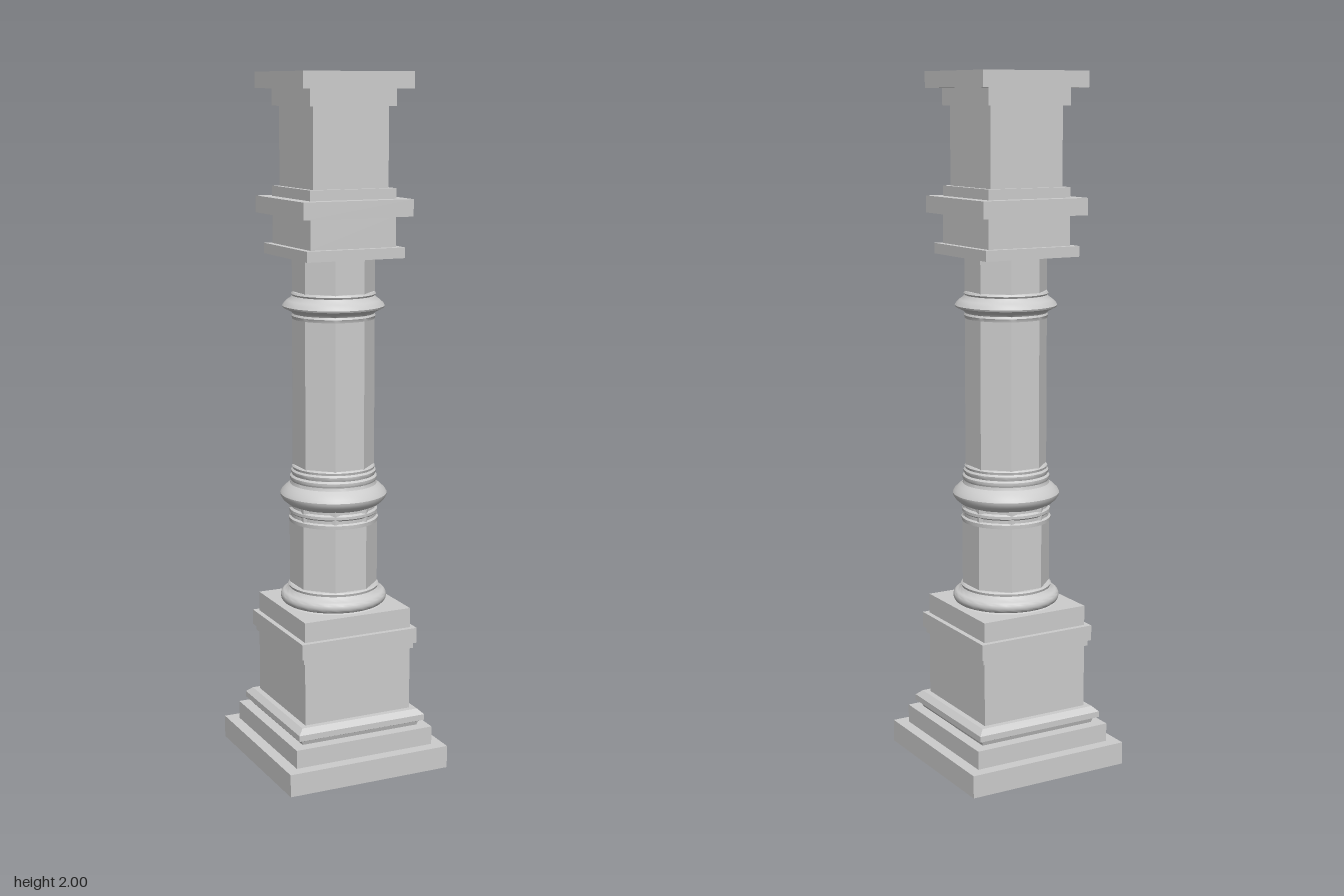
import * as THREE from 'three';
import { toCreasedNormals } from 'three/addons/utils/BufferGeometryUtils.js';

export function createModel() {
  const model = new THREE.Group();
  model.name = 'column';
  const stone = new THREE.MeshStandardMaterial({ color: 0xcccccc });
  stone.name = 'grey stone';

  const add = (name, geometry) => {
    const mesh = new THREE.Mesh(geometry, stone);
    mesh.name = name;
    model.add(mesh);
    return mesh;
  };

  // Square slab: half width and bottom/top heights
  const slab = (name, half, y0, y1) => {
    add(name, new THREE.BoxGeometry(half * 2, y1 - y0, half * 2)).position.y = (y0 + y1) / 2;
  };

  // Turned profile of [radius, y] points, bottom to top
  const lathe = (profile, sides, start, crease) => toCreasedNormals(
    new THREE.LatheGeometry(profile.map(([r, y]) => new THREE.Vector2(r, y)), sides, start), crease);
  const ring = (name, profile) => add(name, lathe(profile, 48, 0, 0.6));

  // Half-round bulge between two heights, for use inside a profile
  const bulge = (r, depth, y0, y1, n = 8) => Array.from({ length: n + 1 }, (_, i) => {
    const a = Math.PI * (i / n - 0.5);
    return [r + depth * Math.cos(a), (y0 + y1) / 2 + (y1 - y0) / 2 * Math.sin(a)];
  });

  // Octagonal shaft with flat faces to the front and sides
  const shaft = (name, apothem, y0, y1) => {
    const r = apothem / Math.cos(Math.PI / 8);
    add(name, lathe([[0, y0], [r, y0], [r, y1], [0, y1]], 8, Math.PI / 8, 0.3));
  };

  // Square pedestal
  slab('plinth', 0.25, 0, 0.066);
  slab('plinthStep', 0.216, 0.066, 0.12);
  const squareProfile = [[0, 0.12], [0.183, 0.12], [0.187, 0.132], [0.2, 0.138],
    [0.2, 0.155], [0.184, 0.17], [0, 0.17]].map(([h, y]) => [h * Math.SQRT2, y]);
  add('pedestalMoulding', lathe(squareProfile, 4, Math.PI / 4, 0.1));
  slab('pedestalBlock', 0.167, 0.17, 0.355);
  slab('pedestalFillet', 0.174, 0.355, 0.372);
  slab('pedestalCornice', 0.182, 0.372, 0.417);
  slab('pedestalTop', 0.167, 0.417, 0.475);

  // Octagonal shafts
  shaft('lowerShaft', 0.118, 0.475, 0.8);
  shaft('upperShaft', 0.109, 0.8, 1.49);

  // Round base ring
  ring('baseRing', [[0, 0.475], [0.147, 0.475], ...bulge(0.14, 0.015, 0.478, 0.512),
    [0.134, 0.518], [0.13, 0.523], [0.132, 0.53], [0.127, 0.534], [0, 0.534]]);

  // Middle ring with stacked fillets
  ring('middleRing', [[0, 0.722], [0.129, 0.722], [0.13, 0.733], [0.124, 0.737],
    [0.124, 0.746], [0.128, 0.75], [0.128, 0.758], [0.122, 0.763], [0.122, 0.77],
    [0.135, 0.776], [0.147, 0.786], [0.154, 0.797], [0.155, 0.804], [0.15, 0.813],
    [0.137, 0.825], [0.126, 0.833], [0.123, 0.842], [0.126, 0.847], [0.126, 0.855],
    [0.12, 0.86], [0.123, 0.866], [0.123, 0.872], [0.118, 0.877], [0.12, 0.884],
    [0.116, 0.888], [0, 0.888]]);

  // Upper neck ring
  ring('neckRing', [[0, 1.313], [0.118, 1.313], [0.12, 1.322], [0.117, 1.328],
    [0.122, 1.334], [0.132, 1.339], [0.144, 1.345], [0.146, 1.35], [0.142, 1.357],
    [0.132, 1.366], [0.122, 1.373], [0.118, 1.379], [0.121, 1.384], [0.117, 1.39], [0, 1.39]]);

  // Square capital
  slab('capitalBase', 0.15, 1.49, 1.52);
  slab('capitalNeck', 0.131, 1.52, 1.606);
  slab('capitalSlab', 0.167, 1.606, 1.654);
  slab('capitalStep', 0.131, 1.654, 1.683);
  slab('capitalBlock', 0.115, 1.683, 1.906);
  slab('topStep', 0.131, 1.906, 1.954);
  slab('topSlab', 0.167, 1.954, 2);

  return model;
}
